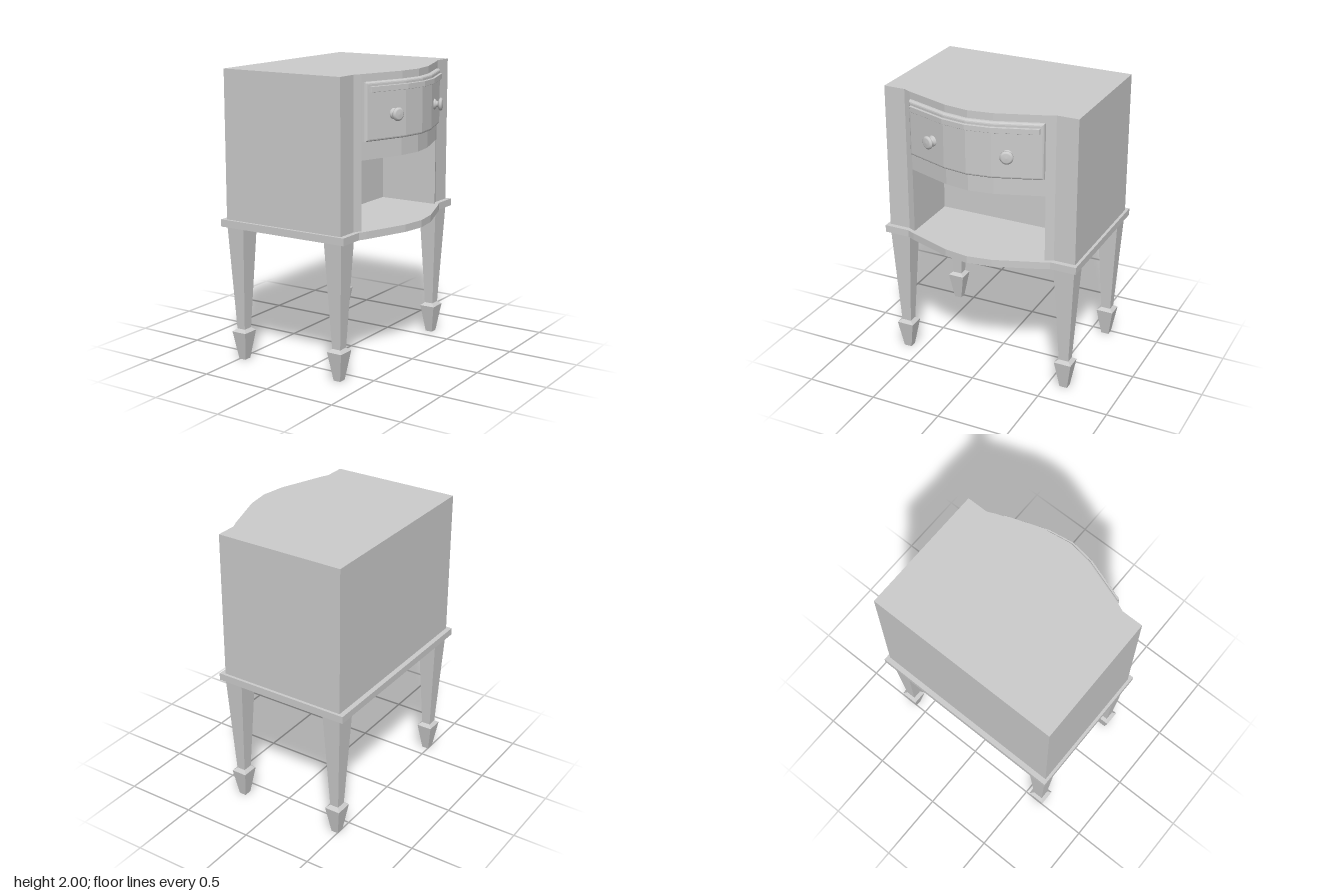
import * as THREE from 'three';

const material = new THREE.MeshStandardMaterial({ color: 0xcccccc, flatShading: true, side: THREE.DoubleSide });
const smooth = new THREE.MeshStandardMaterial({ color: 0xcccccc });

// half of the bowed front, as [z, x] from the centre outwards
const BOW = [[0, 0.525], [0.17, 0.5], [0.485, 0.39], [0.54, 0.365], [0.69, 0.365]];

function bowX(z) {
  const a = Math.abs(z);
  const i = Math.max(1, BOW.findIndex(p => p[0] >= a));
  const [z0, x0] = BOW[i - 1], [z1, x1] = BOW[i];
  return x0 + (x1 - x0) * (a - z0) / (z1 - z0);
}

function addMesh(parent, name, geometry, mat = material) {
  const mesh = new THREE.Mesh(geometry, mat);
  mesh.name = name;
  parent.add(mesh);
  return mesh;
}

// slab with a plan mirrored about z = 0; half is a list of [z, x]
function slab(half, y0, y1) {
  const pts = [...half, ...half.slice().reverse().map(([z, x]) => [-z, x])]
    .map(([z, x]) => new THREE.Vector2(x, z));
  const geo = new THREE.ExtrudeGeometry(new THREE.Shape(pts), { depth: y1 - y0, bevelEnabled: false });
  return geo.rotateX(-Math.PI / 2).translate(0, y0, 0);
}

// strip following the bowed front, with rounded outer edges of radius b
function bowedStrip(halfZ, y0, y1, inner, outer, b) {
  const arc = [0, 30, 60, 90].map(d => d * Math.PI / 180);
  const end = arc.map(a => [halfZ - b + b * Math.sin(a), outer - b + b * Math.cos(a)]);
  const half = [[0.17, outer], ...end];
  const stations = [...half.slice().reverse().map(([z, d]) => [-z, d]), [0, outer], ...half];
  const ring = [[inner, y0],
    ...arc.map(a => [outer - b + b * Math.sin(a), y0 + b - b * Math.cos(a)]),
    ...arc.map(a => [outer - b + b * Math.cos(a), y1 - b + b * Math.sin(a)]),
    [inner, y1]];
  const n = ring.length, pos = [], idx = [];
  for (const [z, cap] of stations)
    for (const [d, y] of ring) pos.push(bowX(z) + Math.min(d, cap), y, z);
  for (let i = 0; i < stations.length - 1; i++)
    for (let j = 0; j < n; j++) {
      const a = i * n + j, c = i * n + (j + 1) % n;
      idx.push(a, c, a + n, c, c + n, a + n);
    }
  const last = (stations.length - 1) * n;
  for (let j = 1; j < n - 1; j++) idx.push(0, j + 1, j, last, last + j, last + j + 1);
  const geo = new THREE.BufferGeometry();
  geo.setAttribute('position', new THREE.Float32BufferAttribute(pos, 3));
  geo.setIndex(idx);
  geo.computeVertexNormals();
  return geo;
}

const profile = list => list.map(([r, y]) => new THREE.Vector2(r, y));

export function createModel() {
  const model = new THREE.Group();
  model.name = 'nightstand';

  // cabinet: solid upper part, lower part with an open niche
  const outline = [[0.69, -0.545], ...BOW.slice(1).reverse(), BOW[0]];
  addMesh(model, 'upperCabinet', slab(outline, 1.45, 2));
  addMesh(model, 'lowerCabinet', slab(
    [[0.69, -0.545], [0.69, 0.365], [0.54, 0.365], [0.485, 0.39], [0.485, -0.04]], 0.99, 1.45));

  // base board with a small overhang
  addMesh(model, 'baseBoard', slab(
    [[0.71, -0.58], [0.71, 0.4], [0.53, 0.4], [0.475, 0.425], [0.17, 0.535], [0, 0.56]], 0.94, 0.99));

  // drawer front and its raised moulding
  addMesh(model, 'drawerFront', bowedStrip(0.48, 1.57, 1.95, -0.005, 0.03, 0.015));
  addMesh(model, 'drawerMoulding', bowedStrip(0.46, 1.885, 1.922, 0.022, 0.048, 0.002));

  // turned knobs, square to the slanted drawer front
  const knobGeo = new THREE.LatheGeometry(profile([
    [0.036, -0.01], [0.036, 0.004], [0.03, 0.01], [0.02, 0.016], [0.02, 0.026], [0.034, 0.032],
    [0.044, 0.038], [0.044, 0.046], [0.036, 0.054], [0.03, 0.056], [0, 0.058]]), 20);
  for (const s of [-1, 1]) {
    const knob = addMesh(model, s > 0 ? 'leftKnob' : 'rightKnob', knobGeo, smooth);
    const normal = new THREE.Vector3(0.943, 0, 0.333 * s);
    knob.quaternion.setFromUnitVectors(new THREE.Vector3(0, 1, 0), normal.normalize());
    knob.position.set(bowX(0.265) + 0.03, 1.735, 0.265 * s);
  }

  // tapered square legs with spade feet
  const legGeo = new THREE.LatheGeometry(profile(
    [[0, 0], [0.028, 0], [0.061, 0.2], [0.035, 0.22], [0.074, 0.94]]
      .map(([w, y]) => [w * Math.SQRT2, y])), 4, Math.PI / 4);
  legGeo.scale(0.9, 1, 1);
  for (const x of [-0.478, 0.302])
    for (const z of [-0.613, 0.613])
      addMesh(model, 'leg', legGeo).position.set(x, 0, z);

  return model;
}
